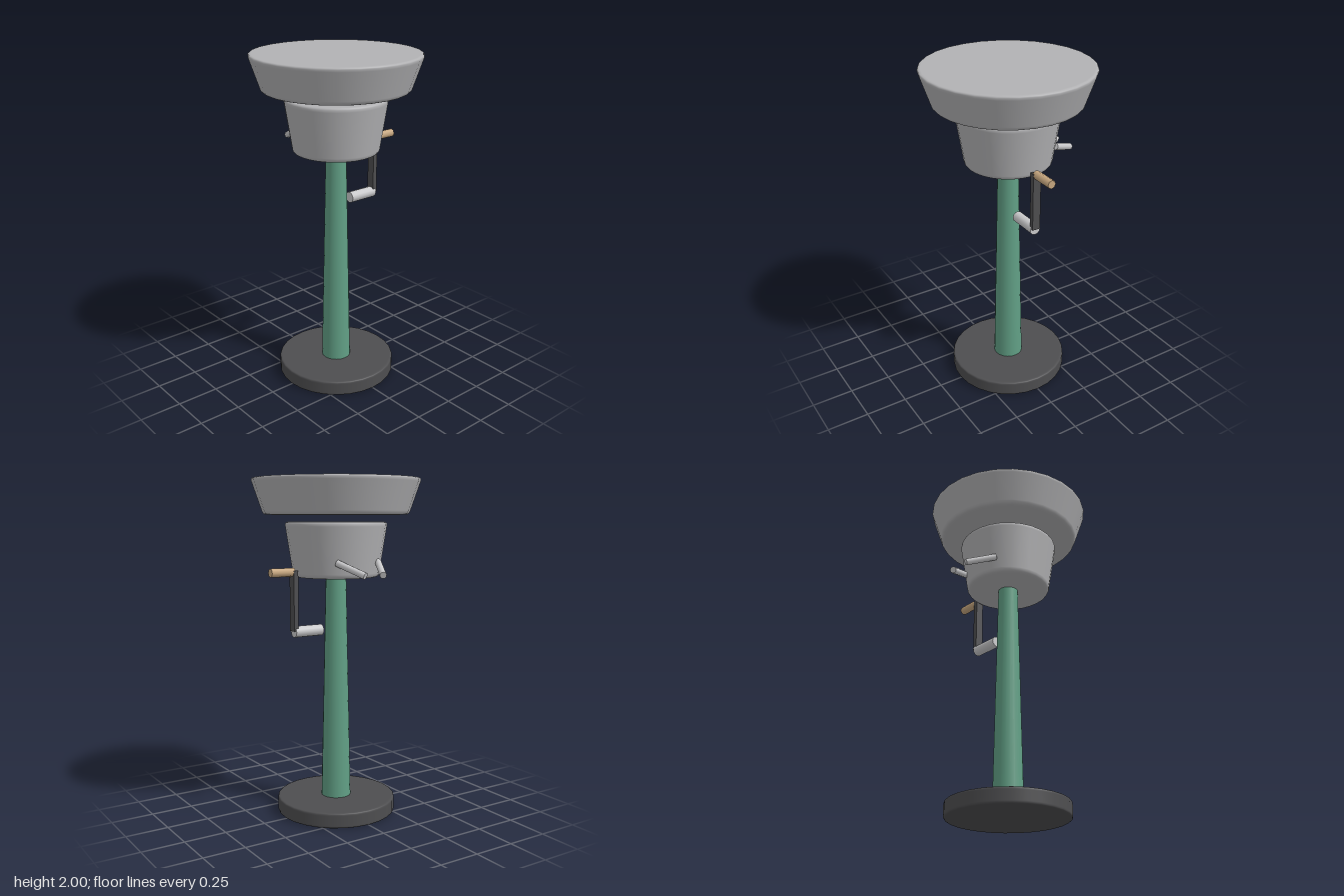
import * as THREE from 'three';

const mat = (name, color) => {
  const m = new THREE.MeshStandardMaterial({ color });
  m.name = name;
  return m;
};

export function createModel() {
  const group = new THREE.Group();
  const grey = mat('castGrey', 0xb2b2b4);
  const steel = mat('lightSteel', 0xcacacc);
  const green = mat('paintedGreen', 0x619f85);
  const black = mat('darkIron', 0x4e4e50);
  const wood = mat('wood', 0xc8a880);

  const add = (name, geometry, material) => {
    const mesh = new THREE.Mesh(geometry, material);
    mesh.name = name;
    group.add(mesh);
    return mesh;
  };

  // Solid tapered disc with rounded rims
  const taperedDisc = (name, y0, r0, y1, r1, bevel, material) => {
    const slope = (r1 - r0) / (y1 - y0);
    const path = new THREE.Path();
    path.moveTo(0, y0);
    path.lineTo(r0 - bevel - 0.004, y0);
    path.lineTo(r0 - bevel, y0);
    path.quadraticCurveTo(r0, y0, r0 + slope * bevel, y0 + bevel);
    path.lineTo(r0 + slope * (bevel + 0.004), y0 + bevel + 0.004);
    path.lineTo(r1 - slope * (bevel + 0.004), y1 - bevel - 0.004);
    path.lineTo(r1 - slope * bevel, y1 - bevel);
    path.quadraticCurveTo(r1, y1, r1 - bevel, y1);
    path.lineTo(r1 - bevel - 0.004, y1);
    path.lineTo(0, y1);
    return add(name, new THREE.LatheGeometry(path.getPoints(4), 28), material);
  };

  // Round bar between two points
  const rod = (name, a, b, radius, sides, material) => {
    const start = new THREE.Vector3(...a);
    const dir = new THREE.Vector3(...b).sub(start);
    const mesh = add(name, new THREE.CylinderGeometry(radius, radius, dir.length(), sides), material);
    mesh.position.copy(start).addScaledVector(dir, 0.5);
    mesh.quaternion.setFromUnitVectors(new THREE.Vector3(0, 1, 0), dir.normalize());
    return mesh;
  };

  // Stand
  taperedDisc('base', 0, 0.357, 0.09, 0.357, 0.012, black);
  add('post', new THREE.CylinderGeometry(0.06, 0.089, 1.36, 20), green).position.y = 0.76;

  // Bowl and the wide disc floating above it
  taperedDisc('bowl', 1.43, 0.252, 1.75, 0.302, 0.022, grey);
  taperedDisc('topDisc', 1.79, 0.425, 2.0, 0.497, 0.02, grey);

  // Crank: axle, arm and wooden grip
  rod('crankAxle', [0.105, 1.12, 0], [0.29, 1.12, 0], 0.033, 12, steel);
  add('crankArm', new THREE.BoxGeometry(0.028, 0.35, 0.05), black).position.set(0.287, 1.3, 0);
  rod('crankGrip', [0.29, 1.465, 0], [0.44, 1.465, 0], 0.025, 8, wood);

  // Two pegs at the back, leaning toward each other
  for (const s of [-1, 1]) {
    rod('rearPeg', [s * 0.14, 1.523, -0.228], [s * 0.06, 1.457, -0.39], 0.02, 10, steel);
  }
  return group;
}
